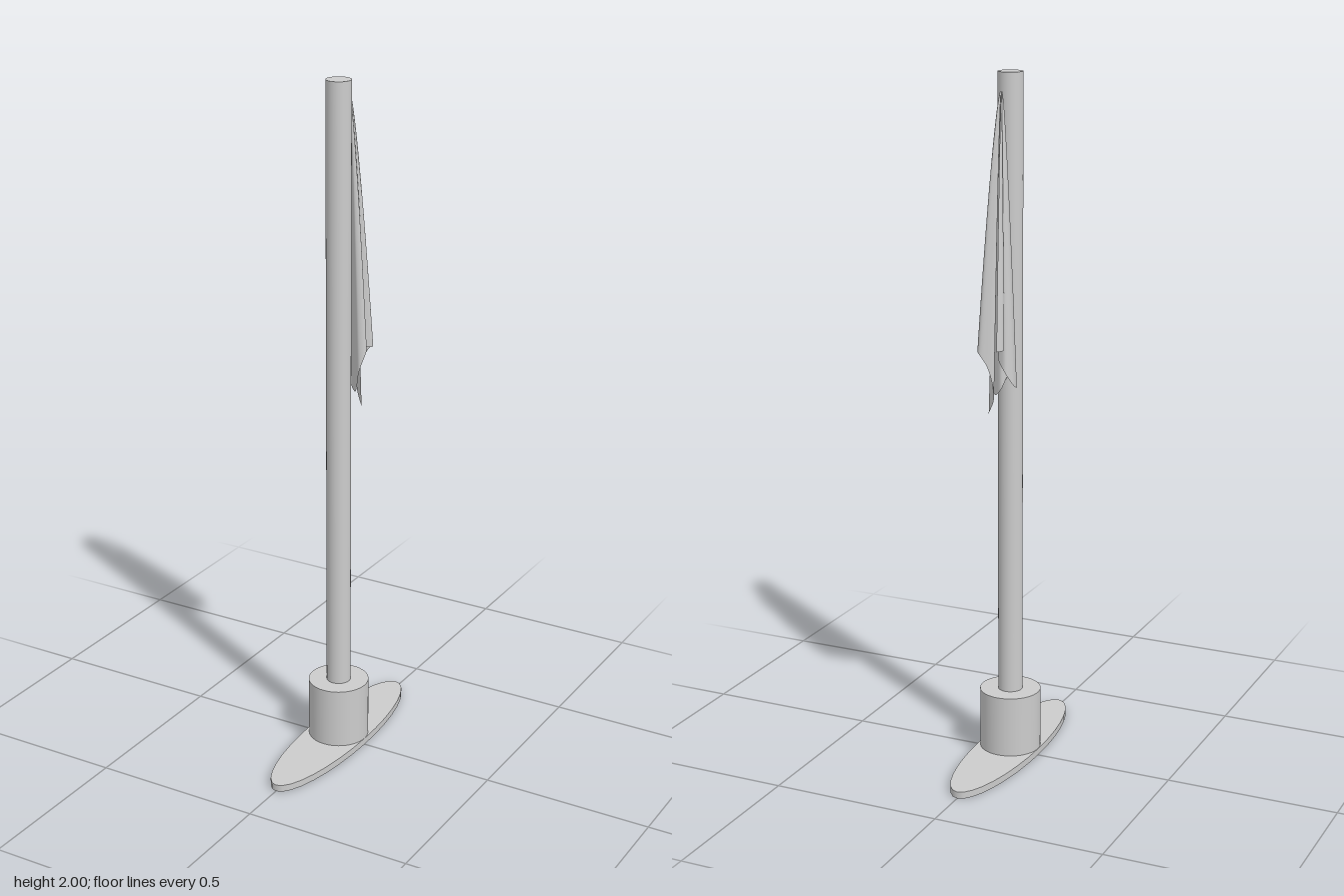
import * as THREE from 'three';

const grey = new THREE.MeshStandardMaterial({ color: 0xcccccc });
grey.name = 'plain grey';
const clothGrey = grey.clone();
clothGrey.name = 'cloth grey';
clothGrey.side = THREE.DoubleSide;

// Upright cylinder between two heights
function column(name, radius, y0, y1, sides) {
  const mesh = new THREE.Mesh(new THREE.CylinderGeometry(radius, radius, y1 - y0, sides), grey);
  mesh.name = name;
  mesh.position.y = (y0 + y1) / 2;
  return mesh;
}

// Limp flag: a folded hem path drawn together to one gathered point
function drapedCloth() {
  // Hem points as x, bottom height, z
  const hem = [
    [-0.026, 1.25, -0.148], [-0.036, 1.25, -0.125], [-0.029, 1.25, -0.106],
    [-0.006, 1.22, -0.094], [-0.03, 1.18, -0.1], [-0.047, 1.14, -0.078],
    [-0.04, 1.13, -0.045], [-0.016, 1.16, -0.042], [0.002, 1.12, -0.06],
    [0.025, 1.1, -0.05], [0.046, 1.17, -0.036], [0.061, 1.23, -0.052],
    [0.046, 1.23, -0.07], [0.06, 1.23, -0.086], [0.05, 1.23, -0.105],
    [0.025, 1.19, -0.099], [0.012, 1.1, -0.084], [0.035, 1.05, -0.07],
  ].map((p) => new THREE.Vector3(...p));
  const path = new THREE.CatmullRomCurve3(hem, false, 'centripetal');
  const apex = new THREE.Vector3(0.002, 1.95, -0.053);
  const cols = 100, rows = 32, positions = [], index = [];
  for (let j = 0; j <= rows; j++) {
    const t = j / rows;
    const spread = 0.06 + 0.94 * Math.pow(t, 0.75);
    for (let i = 0; i <= cols; i++) {
      const p = path.getPoint(i / cols);
      positions.push(
        apex.x + (p.x - apex.x) * spread,
        apex.y + (p.y - apex.y) * t,
        apex.z + (p.z - apex.z) * spread,
      );
      if (i < cols && j < rows) {
        const a = j * (cols + 1) + i, b = a + cols + 1;
        index.push(a, b, a + 1, b, b + 1, a + 1);
      }
    }
  }
  const geometry = new THREE.BufferGeometry();
  geometry.setAttribute('position', new THREE.Float32BufferAttribute(positions, 3));
  geometry.setIndex(index);
  geometry.computeVertexNormals();
  const mesh = new THREE.Mesh(geometry, clothGrey);
  mesh.name = 'drapedFlag';
  return mesh;
}

export function createModel() {
  const model = new THREE.Group();
  model.name = 'flagpole';

  // Long oval foot
  const foot = column('ovalBase', 0.09, 0, 0.02, 32);
  foot.scale.z = 4;

  model.add(
    foot,
    column('collar', 0.089, 0.02, 0.2, 48),
    column('pole', 0.0355, 0.2, 2, 48),
    drapedCloth(),
  );
  return model;
}
